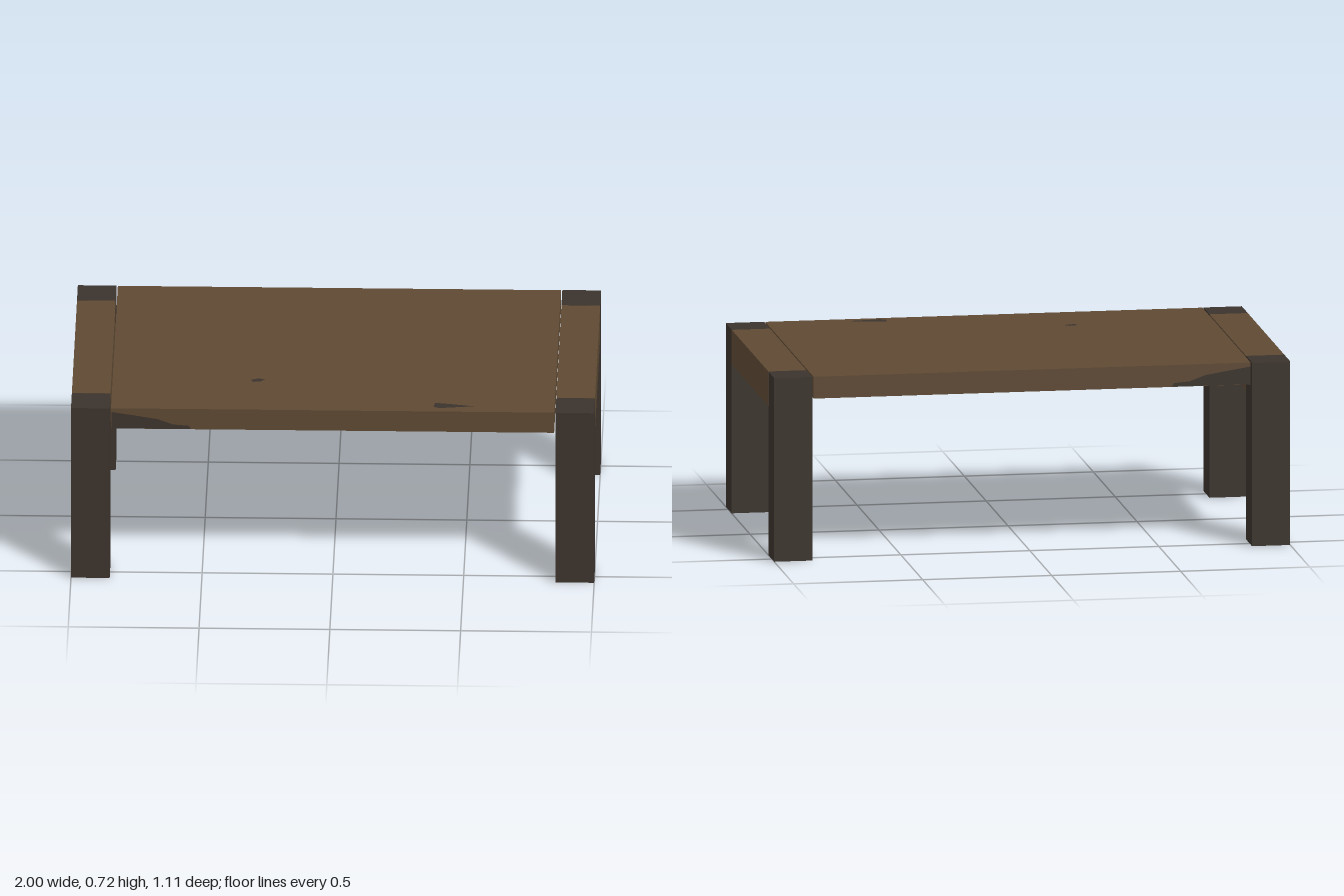
import * as THREE from 'three';

export function createModel() {
  const model = new THREE.Group();
  model.name = 'coffeeTable';
  const wood = new THREE.MeshStandardMaterial({ color: 0x5e4933 });
  wood.name = 'brown wood';
  const dark = new THREE.MeshStandardMaterial({ color: 0x3b332d });
  dark.name = 'dark wood';

  const W = 1, D = 0.555, H = 0.715; // half width, half depth, height
  const inX = 0.852, inZ = 0.42; // inner faces of the legs

  // Box given by its two opposite corners
  function box(name, material, a, b) {
    const mesh = new THREE.Mesh(
      new THREE.BoxGeometry(b[0] - a[0], b[1] - a[1], b[2] - a[2]), material);
    mesh.position.set((a[0] + b[0]) / 2, (a[1] + b[1]) / 2, (a[2] + b[2]) / 2);
    mesh.name = name;
    model.add(mesh);
  }

  // Table top, with a hairline gap beside the end rails
  box('tableTop', wood, [-0.847, 0.63, -0.553], [0.847, H, 0.553]);

  // End rails and corner legs
  for (const s of [-1, 1]) {
    const x0 = s > 0 ? inX : -W, x1 = s > 0 ? W : -inX;
    const side = s > 0 ? 'left' : 'right';
    box(side + 'EndRail', wood, [x0, 0.58, -0.418], [x1, H, 0.418]);
    box(side + 'FrontLeg', dark, [x0, 0, inZ], [x1, H, D]);
    box(side + 'BackLeg', dark, [x0, 0, -D], [x1, H, -inZ]);
  }

  // Dark wood-grain marks, as thin flat faces
  function mark(name, points) {
    const shape = new THREE.Shape(points.map(([x, y]) => new THREE.Vector2(x, y)));
    const mesh = new THREE.Mesh(new THREE.ShapeGeometry(shape), dark);
    mesh.name = name;
    model.add(mesh);
    return mesh;
  }
  const streak = [[-0.846, 0.631], [-0.54, 0.631], [-0.55, 0.645], [-0.61, 0.65],
    [-0.67, 0.672], [-0.75, 0.685], [-0.846, 0.7]];
  mark('frontGrainMark', streak).position.z = 0.5545;
  const back = mark('backGrainMark', streak.map(([x, y]) => [-x, y]));
  back.rotation.y = Math.PI;
  back.position.z = -0.5545;

  // Marks on the upper face: shape y is -z
  const knots = {
    largeKnot: [[0.385, -0.515], [0.41, -0.525], [0.47, -0.516], [0.54, -0.506],
      [0.48, -0.494], [0.45, -0.488], [0.39, -0.478]],
    smallKnot: [[-0.318, -0.285], [-0.31, -0.305], [-0.28, -0.3], [-0.264, -0.28],
      [-0.29, -0.274]],
  };
  for (const [name, points] of Object.entries(knots)) {
    const knot = mark(name, points);
    knot.rotation.x = -Math.PI / 2;
    knot.position.y = H + 0.0015;
  }
  return model;
}
